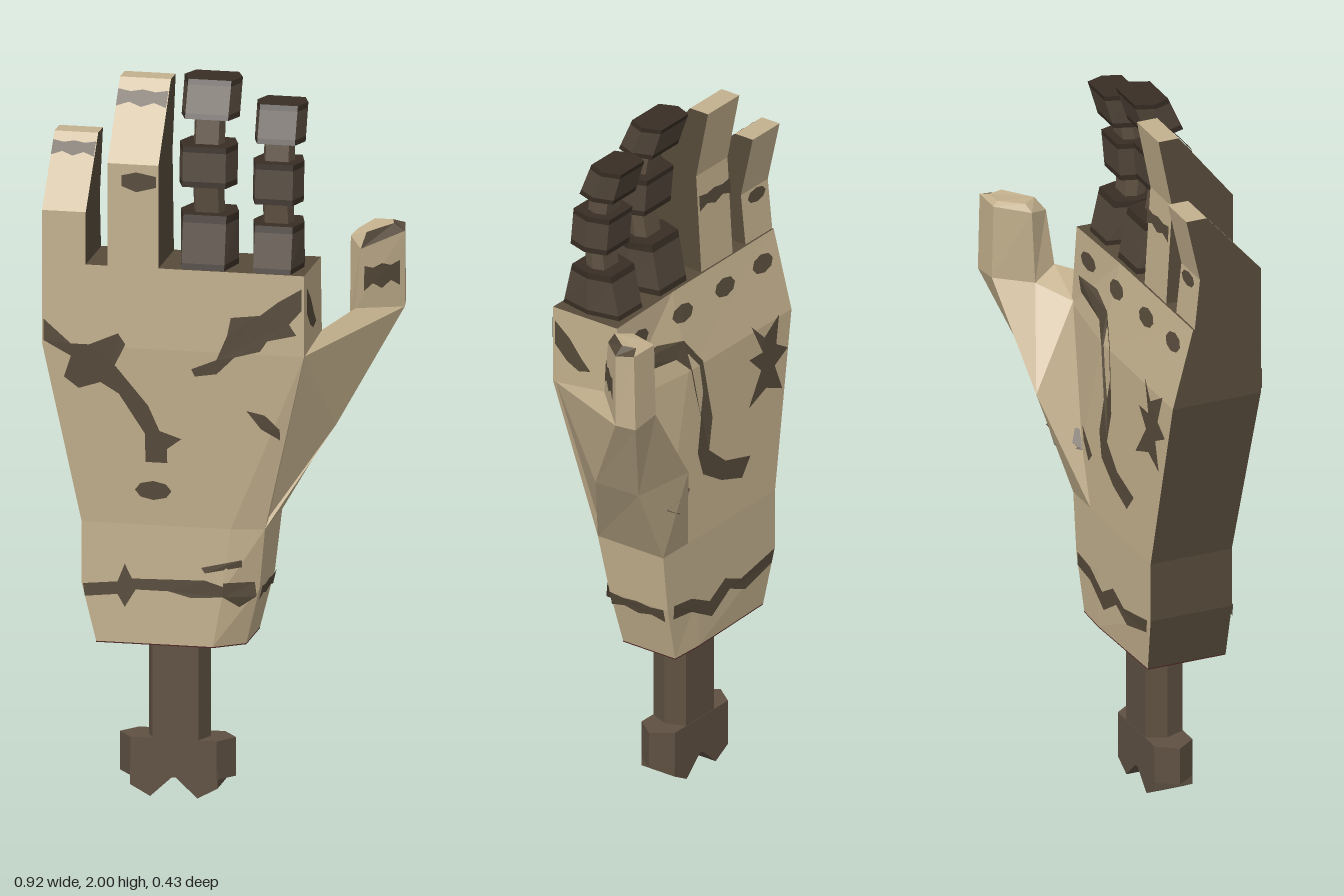
import * as THREE from 'three';

const mat = (name, color) => Object.assign(new THREE.MeshStandardMaterial({ color }), { name });

// Faceted geometry: every face gets its own normal
function facet(geo) {
  const g = geo.index ? geo.toNonIndexed() : geo;
  g.computeVertexNormals();
  return g;
}

// Skin over rings of [x, y, z] points, each ring running front-left, front-right, back-right, back-left.
// isDark(side, row) picks the second material; the caps count as side -1.
function loft(rings, isDark = () => false, bottom = true) {
  const n = rings[0].length, index = [];
  const g = new THREE.BufferGeometry();
  const face = (dark, ...ids) => {
    g.addGroup(index.length, ids.length, dark ? 1 : 0);
    index.push(...ids);
  };
  for (let r = 0; r < rings.length - 1; r++) {
    for (let i = 0; i < n; i++) {
      const a = r * n + i, b = r * n + (i + 1) % n;
      face(isDark(i, r), a, b, b + n, a, b + n, a + n);
    }
  }
  const last = (rings.length - 1) * n;
  for (let i = 1; i < n - 1; i++) {
    if (bottom) face(isDark(-1, 0), 0, i + 1, i);
    face(isDark(-1, 0), last, last + i, last + i + 1);
  }
  g.setAttribute('position', new THREE.Float32BufferAttribute(rings.flat(2), 3));
  g.setIndex(index);
  return facet(g);
}

const level = (y, pts) => pts.map(([x, z]) => [x, y, z]);

// Six-sided ring with flat front and back
const hex = (x, w, y, z, d) => level(y, [[x - .37 * w, z + d / 2], [x + .37 * w, z + d / 2], [x + .5 * w, z],
  [x + .37 * w, z - d / 2], [x - .37 * w, z - d / 2], [x - .5 * w, z]]);

export function createModel() {
  const model = new THREE.Group();
  const skin = mat('skin', 0xc4b18e);
  const bone = mat('bone', 0x5f5142);
  const knuckleBone = mat('knuckleBone', 0x52463a);
  const darkBone = mat('darkBone', 0x382e24);
  const stain = mat('stain', 0x574b3b);
  const flesh = mat('flesh', 0x4c2424);
  stain.side = THREE.DoubleSide;

  const add = (name, geo, material, parent = model) => {
    const m = new THREE.Mesh(geo, material);
    m.name = name;
    parent.add(m);
    return m;
  };

  // Palm and wrist, dark on the outer edge and on top
  const wrist = [[-.32, .17], [0, .17], [.08, .11], [.08, -.065], [-.02, -.07], [-.32, -.06]];
  const palm = add('palm', loft([
    level(.44, wrist),
    level(.6, [[-.36, .17], [.03, .17], [.12, .125], [.12, -.07], [-.02, -.07], [-.36, -.07]]),
    level(.77, [[-.36, .17], [.05, .17], [.14, .15], [.14, -.07], [-.02, -.07], [-.36, -.07]]),
    level(1.27, [[-.46, .21], [.2, .21], [.26, .21], [.26, -.02], [0, -.05], [-.46, -.05]]),
    level(1.495, [[-.46, .21], [.2, .21], [.26, .21], [.26, -.005], [0, .005], [-.46, .01]]),
  ], side => side === 5 || side < 0, false), [skin, stain]);
  add('wristCut', loft([level(.437, wrist), level(.44, wrist)]), flesh);

  // Thumb, growing out of the side of the palm
  const thumb = add('thumb', loft([
    [[.12, .76, .15], [.14, .77, .15], [.14, .77, -.07], [.03, .77, -.07], [-.02, .79, -.065]],
    [[.26, 1.27, .2], [.31, 1.04, .03], [.29, 1.03, -.1], [.16, 1.07, -.17], [.25, 1.28, -.02]],
    [[.35, 1.35, -.03], [.46, 1.33, -.15], [.45, 1.33, -.21], [.36, 1.34, -.21], [.32, 1.32, -.1]],
    [[.36, 1.51, -.05], [.46, 1.54, -.15], [.45, 1.55, -.205], [.36, 1.55, -.205], [.32, 1.53, -.11]],
    [[.37, 1.55, -.08], [.43, 1.56, -.15], [.42, 1.56, -.19], [.37, 1.56, -.19], [.34, 1.55, -.12]],
  ], (side, row) => row === 3 && side < 2), [skin, stain]);

  // Two whole fingers, sloping back at the tip, with dark sides
  const finger = (name, x0, x1, bend, tip) => {
    const ring = (y, f, b) => level(y, [[x0, f], [x1, f], [x1, b], [x0, b]]);
    return add(name, loft([ring(1.45, .21, .01), ring(bend, .21, .03), ring(tip, .05, -.01)],
      side => side === 1 || side === 3), [skin, stain]);
  };
  const skinParts = [palm, thumb,
    finger('littleFinger', -.46, -.34, 1.64, 1.82),
    finger('ringFinger', -.28, -.14, 1.78, 1.98)];

  // Two bare fingers: leaning six-sided knuckles with dark ends, on thin shafts
  const boneFinger = (name, x, w, joints) => {
    const g = new THREE.Group();
    g.name = name;
    model.add(g);
    joints.forEach(([y0, y1, z0, z1, d0, d1], j) => {
      const mix = THREE.MathUtils.lerp;
      const rings = [0, .14, .86, 1].map(t => hex(x, w, mix(y0, y1, t), mix(z0, z1, t), mix(d0, d1, t)));
      add('knuckle', loft(rings, (side, row) => side < 0 || row !== 1), [knuckleBone, darkBone], g);
      if (!j) return;
      const below = joints[j - 1];
      add('shaft', loft([hex(x, .085, below[1] - .02, below[3], .06), hex(x, .085, y0 + .02, z0, .06)]), bone, g);
    });
  };
  boneFinger('middleFingerBones', -.02, .16, [[1.49, 1.64, .11, .11, .19, .13], [1.72, 1.83, .13, .12, .12, .12], [1.9, 2, .1, .06, .11, .1]]);
  boneFinger('indexFingerBones', .17, .14, [[1.49, 1.62, .11, .11, .19, .13], [1.68, 1.79, .12, .11, .12, .12], [1.84, 1.94, .095, .06, .11, .1]]);

  // Forearm bone with a forked end
  add('forearmBone', loft([hex(-.115, .17, .12, .053, .11), hex(-.115, .17, .5, .053, .11)]), bone);
  add('forearmBoneEnd', loft([hex(-.12, .32, .055, .053, .112), hex(-.12, .32, .162, .053, .112)]), bone);
  const fork = new THREE.Shape([[-.24, .08], [-.24, .03], [-.185, 0], [-.12, .06], [-.055, 0], [0, .03],
    [0, .08]].map(p => new THREE.Vector2(...p)));
  add('forearmBoneFork', facet(new THREE.ExtrudeGeometry(fork, { depth: .11, bevelEnabled: false }).translate(0, 0, -.002)), bone);

  // Stains: flat outlines laid on the skin. Points are (x, y) on the front and back, (z, y) on the right side
  const X = new THREE.Vector3(1, 0, 0), Y = new THREE.Vector3(0, 1, 0), Z = new THREE.Vector3(0, 0, 1);
  const sides = {
    front: { out: Z, across: X, flip: false, rest: .19 },
    back: { out: Z.clone().negate(), across: X, flip: true, rest: .05 },
    right: { out: X, across: Z, flip: true, rest: .2 },
  };
  const ray = new THREE.Raycaster();
  const addStain = (name, side, pts) => {
    const { out, across, flip, rest } = sides[side];
    const g = new THREE.ShapeGeometry(new THREE.Shape(pts.map(p => new THREE.Vector2(...p))));
    const p = g.attributes.position;
    let height = rest;
    for (let i = 0; i < p.count; i++) {
      const flat = across.clone().multiplyScalar(p.getX(i)).addScaledVector(Y, p.getY(i));
      ray.set(flat.clone().add(out), out.clone().negate());
      const hit = ray.intersectObjects(skinParts)[0];
      if (hit) height = hit.point.dot(out);
      flat.addScaledVector(out, height + .006);
      p.setXYZ(i, flat.x, flat.y, flat.z);
    }
    if (flip) g.setIndex(Array.from(g.index.array).reverse());
    add(name, facet(g), stain);
  };
  const spot = (x, y, rx, ry) => Array.from({ length: 8 }, (_, i) =>
    [x + rx * Math.cos(i * Math.PI / 4), y + ry * Math.sin(i * Math.PI / 4)]);
  const band = (x0, x1, y, h) => {
    const xs = [0, .25, .5, .75, 1].map(t => x0 + (x1 - x0) * t);
    return [...xs.map((x, i) => [x, y - h * (i % 2 ? .3 : .6)]), ...xs.reverse().map((x, i) => [x, y + h * (i % 2 ? .4 : .55)])];
  };

  // Front of the hand
  addStain('palmCrack', 'front', [[-.455, 1.34], [-.38, 1.275], [-.33, 1.275], [-.25, 1.31], [-.23, 1.28], [-.26, 1.22], [-.17, 1.11],
    [-.14, 1.04], [-.08, 1.02], [-.12, .99], [-.12, .95], [-.18, .95], [-.18, 1.03], [-.25, 1.14], [-.3, 1.17],
    [-.36, 1.15], [-.4, 1.18], [-.38, 1.24], [-.455, 1.28]]);
  addStain('indexStain', 'front', [[.255, 1.46], [.19, 1.42], [.14, 1.38], [.06, 1.37], [.05, 1.32], [.02, 1.25], [-.05, 1.22],
    [-.04, 1.2], [.02, 1.21], [.07, 1.26], [.14, 1.28], [.16, 1.31], [.24, 1.33], [.22, 1.36], [.255, 1.4]]);
  addStain('thumbBaseStain', 'front', [[.1, 1.11], [.15, 1.1], [.19, 1.06], [.19, 1.03], [.14, 1.06]]);
  addStain('palmSpot', 'front', spot(-.16, .87, .05, .027));
  addStain('wristStain', 'front', [[-.355, .6], [-.26, .61], [-.24, .66], [-.22, .62], [-.02, .625], [.03, .61], [.03, .58],
    [-.06, .575], [-.12, .59], [-.21, .59], [-.24, .54], [-.26, .575], [-.35, .565]]);
  addStain('wristSideStain', 'front', [[.03, .62], [.11, .62], [.115, .58], [.07, .55], [.03, .58]]);
  addStain('wristDash', 'front', [[-.03, .66], [.08, .685], [.08, .665], [-.02, .645]]);
  addStain('thumbStain', 'front', band(.37, .45, 1.43, .06));
  addStain('ringTipStain', 'front', band(-.279, -.141, 1.935, .035));
  addStain('ringJointStain', 'front', [[-.24, 1.75], [-.2, 1.76], [-.145, 1.75], [-.145, 1.72], [-.2, 1.705], [-.24, 1.72]]);
  addStain('littleTipStain', 'front', band(-.459, -.341, 1.785, .03));

  // Thumb side of the hand
  addStain('palmEdgeStain', 'right', [[.2, 1.46], [.15, 1.42], [.11, 1.37], [.08, 1.34], [.12, 1.33], [.16, 1.35], [.2, 1.39]]);
  addStain('wristEdgeStain', 'right', band(-.06, .12, .585, .035));

  // Back of the hand
  addStain('backCrack', 'back', [[.22, 1.37], [.1, 1.38], [0, 1.36], [-.06, 1.28], [-.09, 1.1], [-.07, 1.01], [-.14, .95],
    [-.25, .92], [-.21, .87], [-.12, .9], [-.04, .95], [-.02, 1.02], [-.04, 1.12], [-.01, 1.27], [.04, 1.32], [.2, 1.33]]);
  addStain('backBlotch', 'back', [[-.28, 1.29], [-.33, 1.24], [-.4, 1.28], [-.38, 1.2], [-.43, 1.17], [-.37, 1.14], [-.4, 1.06],
    [-.33, 1.09], [-.25, 1.06], [-.31, 1.15], [-.26, 1.2], [-.32, 1.2]]);
  addStain('thumbInnerStain', 'back', [[.09, .99], [.04, .95], [.02, .93], [.04, .905], [.075, .95]]);
  addStain('thumbOuterStain', 'back', [[.11, .97], [.16, .98], [.19, .95], [.14, .92], [.08, .92]]);
  addStain('wristBackStain', 'back', [[.1, .61], [.02, .6], [-.06, .56], [-.13, .6], [-.2, .57], [-.35, .6], [-.34, .56],
    [-.22, .53], [-.15, .56], [-.07, .51], [.02, .56], [.1, .57]]);
  [.17, -.02, -.21, -.38].forEach(x => addStain('knuckleSpot', 'back', spot(x, 1.43, .045, .025)));
  addStain('ringBackStain', 'back', band(-.279, -.141, 1.7, .04));
  addStain('littleBackStain', 'back', spot(-.4, 1.62, .04, .02));
  return model;
}
